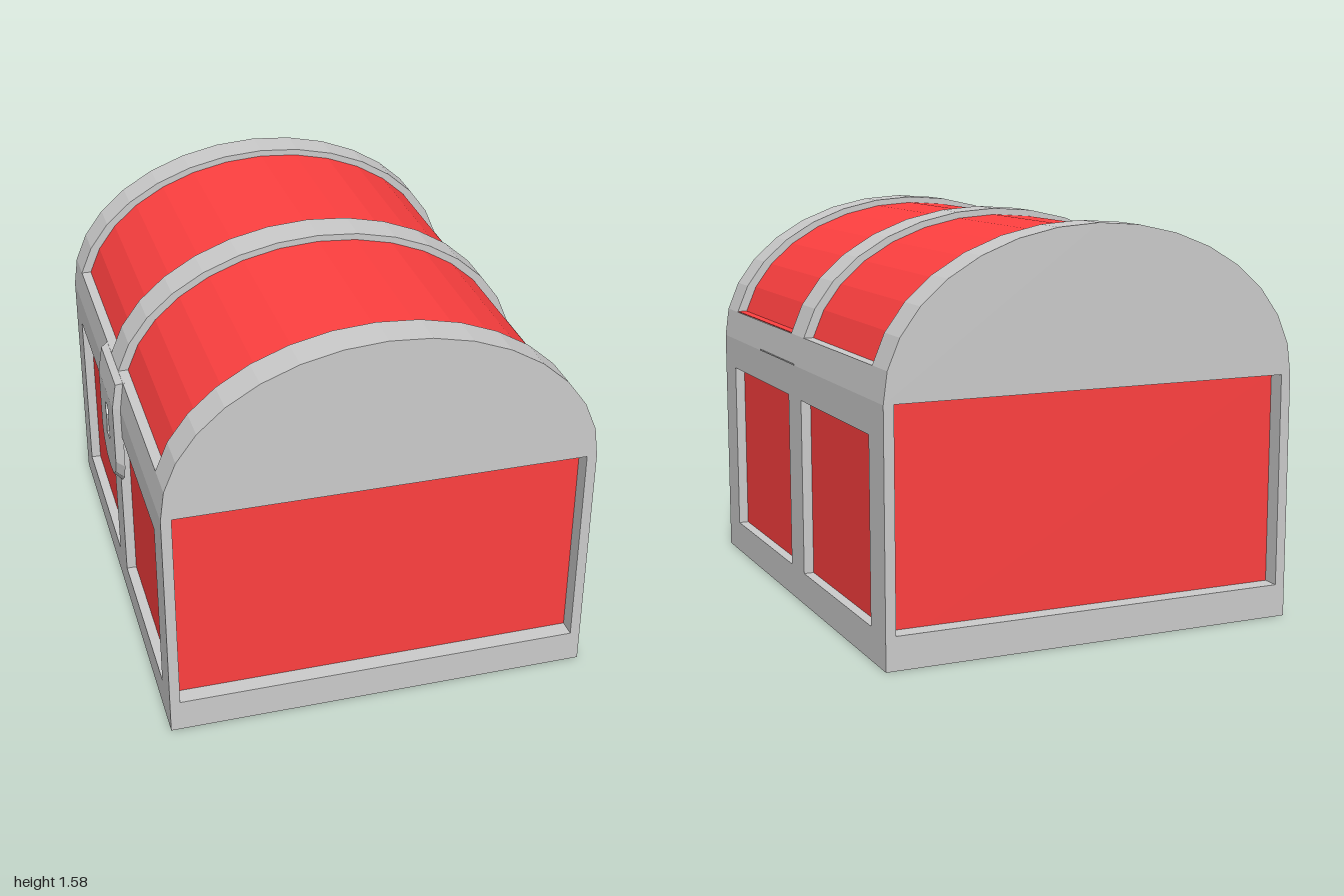
import * as THREE from 'three';

const CX = 0.0125, HALF = 0.8425;      // centre and half width of the chest
const SEAM = 0.97, SILL = 1.09;        // lid joint, foot of the lid panels
const WALL = 0.04;

const grey = new THREE.MeshStandardMaterial({ color: 0xcccccc });
const red = new THREE.MeshStandardMaterial({ color: 0xff4040 });

export function createModel() {
  const chest = new THREE.Group();
  chest.name = 'treasureChest';

  const add = (name, geometry, material = grey) => {
    const mesh = new THREE.Mesh(geometry, material);
    mesh.name = name;
    chest.add(mesh);
    return mesh;
  };
  const box = (name, w, h, d, x, y, z, material) =>
    add(name, new THREE.BoxGeometry(w, h, d).translate(x, y, z), material);
  const shapeOf = (pts) => new THREE.Shape(pts.map(([x, y]) => new THREE.Vector2(x, y)));
  const extrude = (shape, depth) =>
    new THREE.ExtrudeGeometry(shape, { depth, bevelEnabled: false, curveSegments: 8 });
  const slab = (name, pts, z0, z1, material) =>
    add(name, extrude(shapeOf(pts), z1 - z0).translate(0, 0, z0), material);

  // Body: red core, floor rail and framed side walls
  const inner = 2 * (HALF - WALL);
  box('bodyPanels', inner, 0.92, 1.86, CX, 0.51, 0, red);
  box('floor', inner, 0.13, 2, CX, 0.065, 0);

  const wall = shapeOf([[-1, 0], [1, 0], [1, SEAM], [-1, SEAM]]);
  for (const s of [-1, 1]) {
    const [a, b] = s < 0 ? [-0.85, -0.08] : [0.08, 0.85];
    wall.holes.push(new THREE.Path([[a, 0.13], [a, 0.84], [b, 0.84], [b, 0.13]]
      .map((p) => new THREE.Vector2(...p))));
  }
  for (const x of [CX - HALF, CX + HALF - WALL]) {
    add('sideWall', extrude(wall, WALL).rotateY(Math.PI / 2).translate(x, 0, 0));
  }

  // Lid: half-ellipse profile in sixteen facets
  const arch = [];
  for (let k = 0; k <= 16; k++) {
    const t = (k * Math.PI) / 16;
    arch.push([CX + HALF * Math.cos(t), SEAM + 0.61 * Math.sin(t)]);
  }
  for (const [z0, z1] of [[-1, -0.85], [-0.08, 0.08], [0.85, 1]]) {
    slab('lidRib', arch, z0, z1);
  }
  const sill = [arch[0], arch[1], arch[15], arch[16]];
  const panel = arch.slice(1, 16).map(([x, y]) =>
    [CX + (x - CX) * 0.952, SILL + (y - SILL) * 0.948]);
  for (const [z0, z1] of [[-0.85, -0.08], [0.08, 0.85]]) {
    slab('lidSill', sill, z0, z1);
    slab('lidPanel', panel, z0, z1, red);
  }
  box('lidPanelLedge', 0.036, 0.004, 0.77, 0.817, SILL, 0.465, red);

  // Thin joint line between lid and body
  box('lidJoint', 0.004, 0.005, 0.46, CX + HALF, SEAM + 0.003, 0.23);

  // Lock: plate with a keyhole and a leaning top, flared towards the wall
  const flare = (geometry) => {
    const p = geometry.attributes.position;
    for (let i = 0; i < p.count; i++) {
      const x = p.getX(i), y = p.getY(i), z = p.getZ(i);
      const rim = Math.hypot(x, y - 0.82) > 0.13;
      if (rim && z < 0.01) {
        p.setX(i, x * 1.12);
        if (y < 0.75) p.setY(i, 0.82 + (y - 0.82) * 1.15);
        if (y > 1) p.setY(i, y + 0.015);
      }
      if (y > SEAM) p.setZ(i, z - (y - SEAM) * 0.16);
    }
    geometry.computeVertexNormals();
    return geometry.rotateY(-Math.PI / 2).translate(-0.825, 0, 0);
  };
  const plate = shapeOf([[-0.165, SEAM], [-0.165, 0.72], [-0.14, 0.66], [-0.08, 0.615],
    [0, 0.605], [0.08, 0.615], [0.14, 0.66], [0.165, 0.72], [0.165, SEAM]]);
  const keyhole = new THREE.Path();
  keyhole.moveTo(-0.035, 0.75);
  keyhole.lineTo(0.035, 0.75);
  keyhole.lineTo(0.018, 0.84);
  keyhole.absarc(0, 0.87, 0.035, -1.03, Math.PI + 1.03, false);
  keyhole.closePath();
  plate.holes.push(keyhole);
  add('lockPlate', flare(extrude(plate, 0.034)));
  add('lockHasp', flare(extrude(shapeOf([[-0.165, SEAM], [0.165, SEAM],
    [0.165, 1.075], [-0.165, 1.075]]), 0.034)));

  return chest;
}
